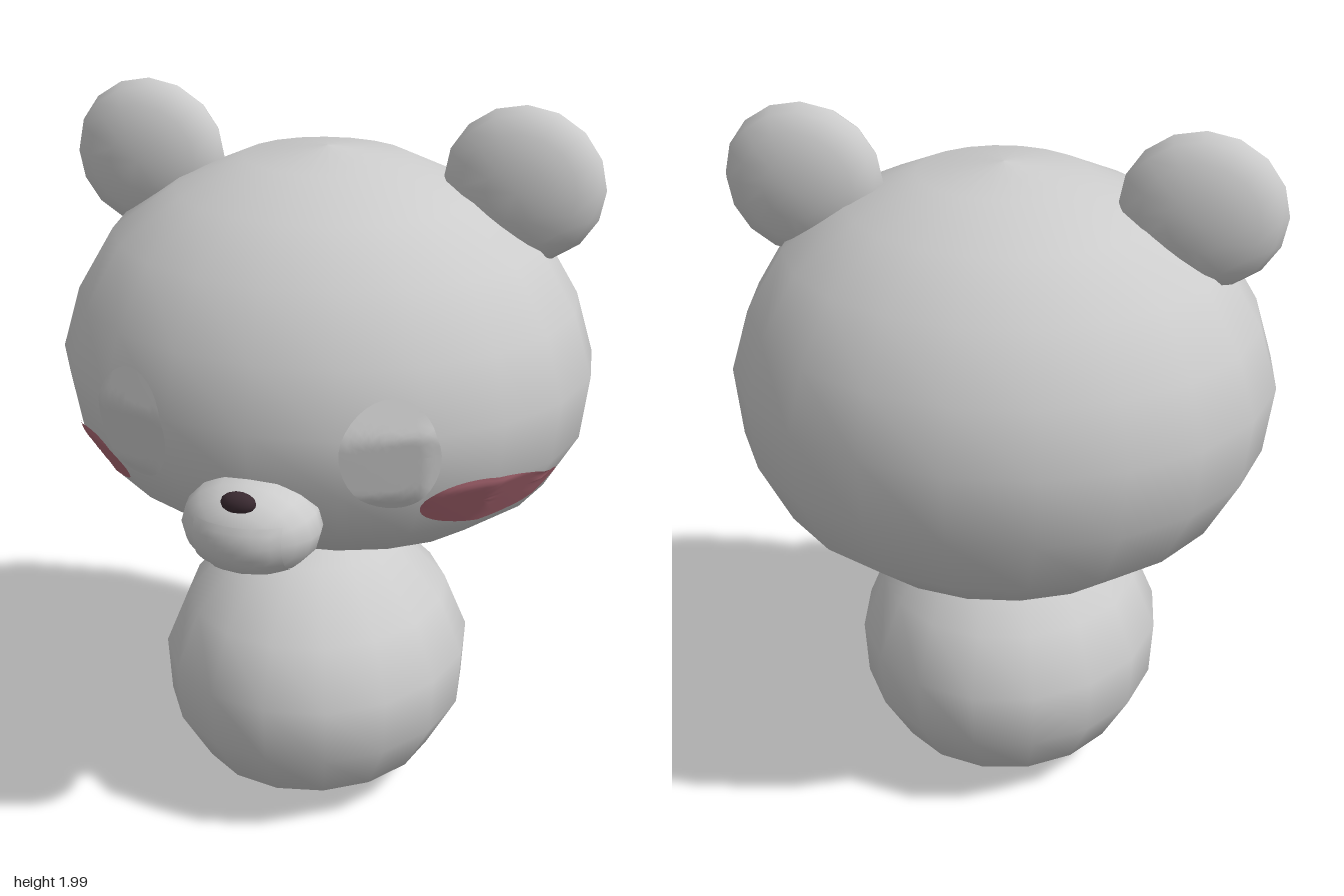
import * as THREE from 'three';

const grey = new THREE.MeshStandardMaterial({ color: 0xcccccc });
grey.name = 'soft grey';
const rose = new THREE.MeshStandardMaterial({ color: 0xb06a76 });
rose.name = 'dusty rose';
const dark = new THREE.MeshStandardMaterial({ color: 0x3a2a31 });
dark.name = 'dark brown';

function part(name, geometry, material) {
  const mesh = new THREE.Mesh(geometry, material);
  mesh.name = name;
  return mesh;
}

// Turned form from a [radius, y] profile, squashed and shifted in z
function turned(profile, segments, depth, z) {
  const points = profile.map(([r, y]) => new THREE.Vector2(r, y));
  return new THREE.LatheGeometry(points, segments).scale(1, 1, depth).translate(0, 0, z);
}

function ellipsoid(rx, ry, rz, x, y, z, w = 16, h = 8) {
  // poles lie along z so the front outline is round
  return new THREE.SphereGeometry(1, w, h).rotateX(Math.PI / 2).scale(rx, ry, rz).translate(x, y, z);
}

// Lay a flat shape onto the front of a mesh, lifted slightly away from its centre
function drape(shape, target, centre, lift) {
  const ray = new THREE.Raycaster();
  const back = new THREE.Vector3(0, 0, -1);
  const pos = shape.attributes.position;
  const p = new THREE.Vector3();
  for (let i = 0; i < pos.count; i++) {
    p.fromBufferAttribute(pos, i);
    ray.set(new THREE.Vector3(p.x + 1e-5, p.y + 1e-5, 3), back);
    const hit = ray.intersectObject(target)[0];
    if (hit) p.z = hit.point.z;
    else p.z = centre.z;
    p.sub(centre);
    p.setLength(p.length() + lift).add(centre);
    pos.setXYZ(i, p.x, p.y, p.z);
  }
  shape.computeVertexNormals();
  return shape;
}

function oval(rx, ry, x, y) {
  return new THREE.RingGeometry(0.001, 1, 36, 8).scale(rx, ry, 1).translate(x, y, 0);
}

export function createModel() {
  const model = new THREE.Group();
  model.name = 'bear';

  // Body
  const bodyProfile = [[0, 0.01], [0.18, 0.035], [0.335, 0.13], [0.42, 0.28],
    [0.43, 0.44], [0.365, 0.6], [0.22, 0.76], [0, 0.82]];
  model.add(part('body', turned(bodyProfile, 16, 1.105, 0.03), grey));

  // Head, with the chin set back a little
  const headProfile = [[0, 0.75], [0.25, 0.765], [0.45, 0.83], [0.62, 0.95], [0.715, 1.11],
    [0.74, 1.29], [0.69, 1.46], [0.59, 1.63], [0.42, 1.75], [0.23, 1.835], [0, 1.865]];
  const headGeometry = turned(headProfile, 20, 0.9, -0.055);
  const pos = headGeometry.attributes.position;
  for (let i = 0; i < pos.count; i++) {
    const drop = Math.max(0, 1.29 - pos.getY(i));
    pos.setZ(i, pos.getZ(i) - 0.08 * drop);
    pos.setY(i, pos.getY(i) + 0.12 * drop * pos.getZ(i));
  }
  headGeometry.computeBoundingSphere();
  const head = part('head', headGeometry, grey);
  model.add(head);

  // Ears, eyes and cheeks on both sides
  const headCentre = new THREE.Vector3(0, 1.29, -0.055);
  for (const [side, s] of [['left', 1], ['right', -1]]) {
    model.add(part(side + 'Ear', ellipsoid(0.218, 0.21, 0.1, s * 0.528, 1.79, -0.1), grey));
    model.add(part(side + 'Eye', drape(oval(0.115, 0.155, s * 0.345, 1.235), head, headCentre, 0.006), grey));
    model.add(part(side + 'Cheek', drape(oval(0.133, 0.08, s * 0.533, 1.06), head, headCentre, 0.006), rose));
  }

  // Muzzle, mouth patch and nose
  const muzzle = part('muzzle', ellipsoid(0.185, 0.13, 0.147, 0, 1.033, 0.565, 16, 10), grey);
  model.add(muzzle);
  const mouth = new THREE.PlaneGeometry(0.23, 0.14, 10, 8).translate(0, 1.01, 0);
  model.add(part('mouthPatch', drape(mouth, muzzle, new THREE.Vector3(0, 1.033, 0.565), 0.004), grey));
  model.add(part('nose', ellipsoid(0.047, 0.03, 0.026, 0, 1.13, 0.662, 14, 8), dark));

  return model;
}
